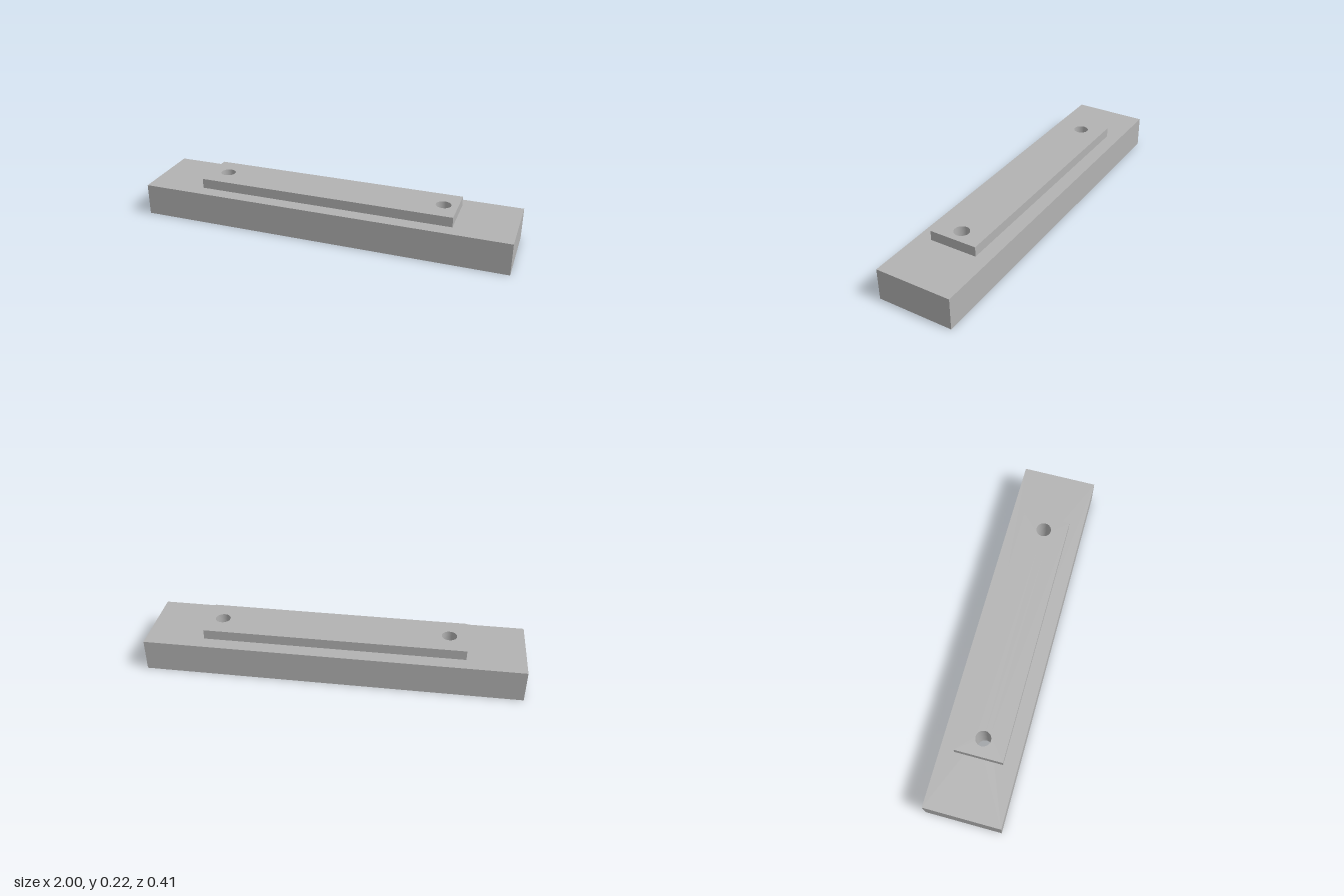
import * as THREE from 'three';

const HOLES_X = [-0.6, 0.615];
const HOLE_RADIUS = 0.04;

// Flat rectangular slab pierced by the two bolt holes
function drilledSlab(name, x0, x1, halfDepth, y0, y1, material) {
  const shape = new THREE.Shape();
  shape.moveTo(x0, -halfDepth);
  shape.lineTo(x1, -halfDepth);
  shape.lineTo(x1, halfDepth);
  shape.lineTo(x0, halfDepth);
  shape.closePath();
  for (const x of HOLES_X) {
    const hole = new THREE.Path();
    hole.absarc(x, 0, HOLE_RADIUS, 0, Math.PI * 2, true);
    shape.holes.push(hole);
  }
  const geometry = new THREE.ExtrudeGeometry(shape, {
    depth: y1 - y0, bevelEnabled: false, curveSegments: 48,
  });
  geometry.rotateX(-Math.PI / 2);
  geometry.translate(0, y0, 0);
  const mesh = new THREE.Mesh(geometry, material);
  mesh.name = name;
  return mesh;
}

export function createModel() {
  const group = new THREE.Group();
  group.name = 'drilledMountingBlock';
  const grey = new THREE.MeshStandardMaterial({ color: 0xb3b3b3 });
  grey.name = 'grey';

  // Long base block, with the narrower raised pad on top
  group.add(drilledSlab('baseBlock', -1, 1, 0.203, 0, 0.171, grey));
  group.add(drilledSlab('raisedPad', -0.693, 0.69, 0.128, 0.171, 0.224, grey));
  return group;
}
